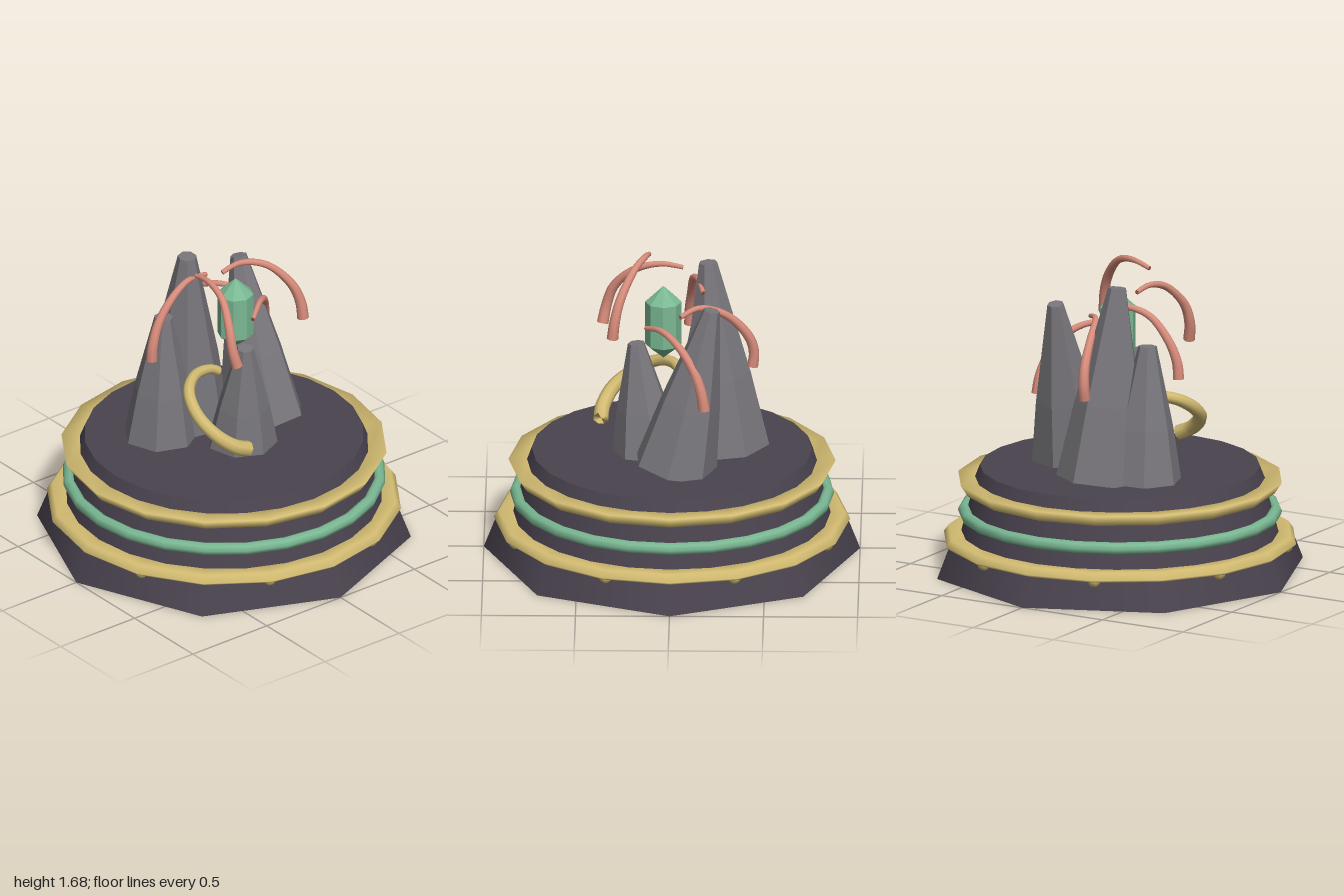
import * as THREE from 'three';

const material = (name, color) => {
  const m = new THREE.MeshStandardMaterial({ color });
  m.name = name;
  return m;
};

export function createModel() {
  const model = new THREE.Group();
  const dark = material('dark slate', 0x4a434f);
  const gold = material('pale gold', 0xd3bc72);
  const green = material('jade green', 0x7ab893);
  const coral = material('coral', 0xd98d7c);
  const rock = material('grey rock', 0x78767b);
  rock.flatShading = true;
  const crystalGreen = green.clone();
  crystalGreen.name = 'jade green faceted';
  crystalGreen.flatShading = true;

  const add = (name, geometry, mat, x = 0, y = 0, z = 0) => {
    const mesh = new THREE.Mesh(geometry, mat);
    mesh.name = name;
    mesh.position.set(x, y, z);
    model.add(mesh);
    return mesh;
  };
  // Tapered drum from height y0 to y1
  const drum = (name, r0, r1, y0, y1, sides) =>
    add(name, new THREE.CylinderGeometry(r1, r0, y1 - y0, sides), dark, 0, (y0 + y1) / 2);
  // Ring turned from a closed profile of [radius, height]
  const ring = (name, profile) =>
    add(name, new THREE.LatheGeometry(profile.map(p => new THREE.Vector2(...p)), 16), gold);

  // Stepped pedestal
  drum('octagonBase', 1, 0.925, 0, 0.195, 8);
  drum('pedestalBody', 0.85, 0.775, 0.18, 0.46, 24);
  drum('pedestalTop', 0.79, 0.745, 0.45, 0.565, 24);

  // Trim rings
  ring('lowerGoldRing', [[0.82, 0.155], [0.935, 0.155], [0.947, 0.168], [0.92, 0.205], [0.82, 0.205], [0.82, 0.155]]);
  ring('upperGoldRing', [[0.76, 0.44], [0.83, 0.44], [0.87, 0.5], [0.76, 0.5], [0.76, 0.44]]);
  add('greenRing', new THREE.TorusGeometry(0.828, 0.034, 8, 24).rotateX(Math.PI / 2), green, 0, 0.317);

  // Studs under the lower ring, one on each face of the base
  for (let i = 0; i < 8; i++) {
    const a = (i + 0.5) * Math.PI / 4;
    add('stud', new THREE.SphereGeometry(0.036, 8, 6), gold, 0.895 * Math.cos(a), 0.157, 0.895 * Math.sin(a));
  }

  // Leaning rock spires: base centre, tip centre, base radius, tip radius, spin
  const spires = [
    [[-0.06, 0.56, -0.27], [-0.1, 1.59, -0.19], 0.25, 0.05, 0.3],
    [[-0.27, 0.56, -0.2], [-0.275, 1.29, -0.17], 0.205, 0.05, 0.1],
    [[0.28, 0.57, -0.02], [0.27, 1.46, -0.215], 0.225, 0.045, 0.5],
    [[0.02, 0.56, 0.13], [-0.005, 1.165, 0.19], 0.19, 0.045, 0],
  ];
  for (const [b, t, r0, r1, spin] of spires) {
    const base = new THREE.Vector3(...b);
    const axis = new THREE.Vector3(...t).sub(base);
    const h = axis.length();
    const profile = [[0, 0], [r0, 0], [r1 + (r0 - r1) * 0.66, h * 0.4], [r1, h], [0, h]];
    const geometry = new THREE.LatheGeometry(profile.map(p => new THREE.Vector2(...p)), 7).rotateY(spin);
    const spire = add('rockSpire', geometry, rock, ...b);
    spire.quaternion.setFromUnitVectors(new THREE.Vector3(0, 1, 0), axis.normalize());
  }

  // Crystal floating among the spires
  const gem = [[0, 1.1], [0.097, 1.18], [0.097, 1.42], [0, 1.51]];
  add('crystal', new THREE.LatheGeometry(gem.map(p => new THREE.Vector2(...p)), 8), crystalGreen, 0.042, 0, 0.045);

  // Tube that tapers along a curve, with closed flat ends
  const taperedTube = (points, r0, r1) => {
    const n = 32, sides = 8;
    const curve = new THREE.CatmullRomCurve3(points.map(p => new THREE.Vector3(...p)));
    const geometry = new THREE.TubeGeometry(curve, n, 1, sides);
    const pos = geometry.attributes.position;
    const v = new THREE.Vector3();
    for (let i = 0; i <= n; i++) {
      const own = curve.getPointAt(i / n);
      const k = Math.min(Math.max(i, 1), n - 1);
      const centre = curve.getPointAt(k / n);
      const r = k === i ? r0 + (r1 - r0) * i / n : 0;
      for (let j = 0; j <= sides; j++) {
        const q = i * (sides + 1) + j;
        v.fromBufferAttribute(pos, q).sub(own).multiplyScalar(r).add(centre);
        pos.setXYZ(q, v.x, v.y, v.z);
      }
    }
    return geometry;
  };

  // Coral tendrils, from thin tip to thick end
  const tendrils = [
    [[-0.13, 1.625, 0.12], [0, 1.66, 0.14], [0.13, 1.63, 0.2], [0.24, 1.51, 0.27], [0.28, 1.4, 0.3], [0.29, 1.28, 0.315]],
    [[0.03, 1.45, -0.17], [-0.12, 1.48, -0.14], [-0.25, 1.44, -0.11], [-0.36, 1.32, -0.1], [-0.41, 1.2, -0.09], [-0.42, 1.09, -0.09]],
    [[0.17, 1.37, -0.03], [0.06, 1.39, -0.15], [0, 1.32, -0.3], [-0.03, 1.19, -0.41], [-0.04, 1.1, -0.435], [-0.04, 1, -0.425]],
    [[-0.14, 1.54, -0.08], [-0.15, 1.56, 0.06], [-0.17, 1.52, 0.2], [-0.21, 1.41, 0.31], [-0.22, 1.3, 0.35], [-0.2, 1.18, 0.375]],
    [[0.07, 1.28, 0.15], [0.2, 1.31, 0.05], [0.3, 1.26, -0.04], [0.37, 1.15, -0.12], [0.4, 1.04, -0.16], [0.41, 0.92, -0.18]],
  ];
  for (const points of tendrils) add('tendril', taperedTube(points, 0.012, 0.032), coral);

  // Gold hook curling out of the rocks
  const hook = [[0.02, 0.91, -0.04], [-0.06, 0.955, -0.045], [-0.19, 0.975, -0.01], [-0.3, 0.95, 0.08],
    [-0.34, 0.88, 0.2], [-0.31, 0.8, 0.31], [-0.22, 0.72, 0.37], [-0.11, 0.67, 0.38]];
  add('goldHook', taperedTube(hook, 0.025, 0.043), gold);

  return model;
}
